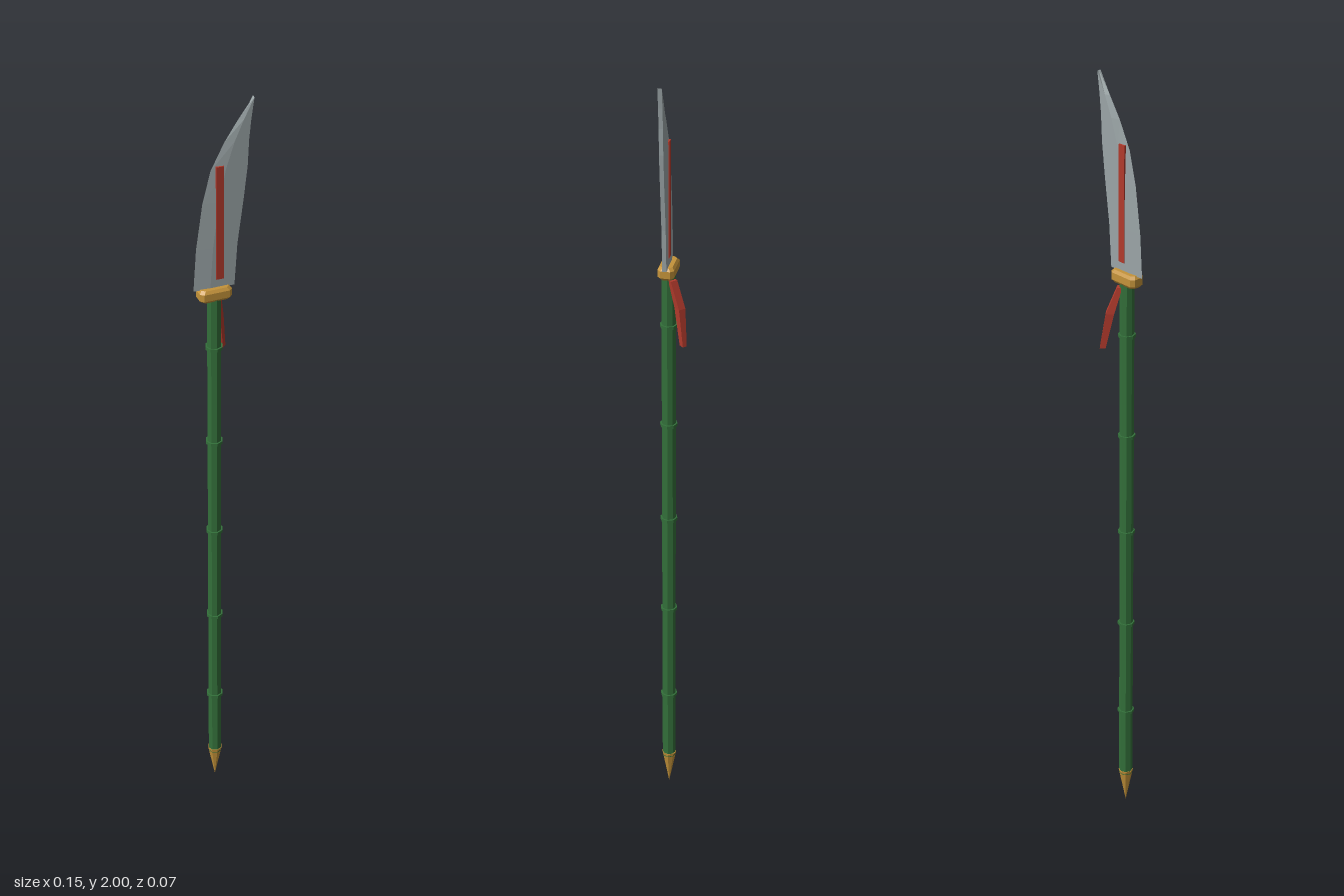
import * as THREE from 'three';

const CX = -0.022, CZ = 0.014; // axis of the shaft

const mat = (color) => new THREE.MeshStandardMaterial({ color, flatShading: true });
const GREEN = mat(0x33703a), GOLD = mat(0xc4933a), RED = mat(0xb23a2c), STEEL = mat(0x9ba5a7);

function add(group, name, geometry, material, x = 0, y = 0, z = 0) {
  const mesh = new THREE.Mesh(geometry, material);
  mesh.name = name;
  mesh.position.set(x, y, z);
  group.add(mesh);
  return mesh;
}

// Skins a stack of equal-length rings, listed bottom to top, and caps both ends.
// Each ring runs counterclockwise as seen from above.
function loft(rings) {
  const n = rings[0].length, index = [];
  for (let r = 0; r < rings.length - 1; r++) {
    for (let i = 0; i < n; i++) {
      const a = r * n + i, b = r * n + (i + 1) % n;
      index.push(a, b, b + n, a, b + n, a + n);
    }
  }
  const top = (rings.length - 1) * n;
  for (let i = 1; i < n - 1; i++) {
    index.push(0, i + 1, i, top, top + i, top + i + 1);
  }
  const geometry = new THREE.BufferGeometry();
  geometry.setAttribute('position', new THREE.Float32BufferAttribute(rings.flat(2), 3));
  geometry.setIndex(index);
  geometry.computeVertexNormals();
  return geometry;
}

// Blade section: sharp edge on -x, flat bevel, then a blunt spine on +x
function bladeRing([y, edge, spine]) {
  const bevel = edge + (spine - edge) * 0.4, t = 0.005;
  return [[edge, y, CZ], [bevel, y, CZ + t], [spine, y, CZ + t], [spine, y, CZ - t], [bevel, y, CZ - t]];
}

// Rectangle with cut corners for the guard
function guardRing([y, hx, hz]) {
  const c = 0.008;
  return [[-hx, hz - c], [-hx + c, hz], [hx - c, hz], [hx, hz - c],
    [hx, c - hz], [hx - c, -hz], [c - hx, -hz], [-hx, c - hz]].map(([x, z]) => [CX + x, y, CZ + z]);
}

// Ribbon section, turned 45 degrees to lean out to the back left
function ribbonRing([x, y, z, radial, across]) {
  const k = Math.SQRT1_2 / 2;
  return [[-1, -1], [-1, 1], [1, 1], [1, -1]].map(([r, a]) =>
    [x + k * (r * radial + a * across), y, z + k * (a * across - r * radial)]);
}

export function createModel() {
  const model = new THREE.Group();
  model.name = 'polearm';

  // Bamboo shaft with its joints
  add(model, 'shaft', new THREE.CylinderGeometry(0.0175, 0.0175, 1.42, 8), GREEN, CX, 0.8, CZ);
  for (let i = 0; i < 5; i++) {
    add(model, 'shaftJoint', new THREE.CylinderGeometry(0.0215, 0.0215, 0.008, 8), GREEN, CX, 0.29 + i * 0.27, CZ);
  }

  // Pointed foot
  add(model, 'footSpike', new THREE.ConeGeometry(0.019, 0.1, 8).rotateX(Math.PI), GOLD, CX, 0.05, CZ);

  // Guard with bevelled rims
  add(model, 'guard', loft([[1.503, 0.034, 0.015], [1.51, 0.04, 0.02],
    [1.528, 0.04, 0.02], [1.535, 0.034, 0.015]].map(guardRing)), GOLD);

  // Curved blade: height, cutting edge x, spine x
  add(model, 'blade', loft([
    [1.532, -0.073, 0.027], [1.64, -0.066, 0.034], [1.755, -0.05, 0.049], [1.835, -0.03, 0.058],
    [1.9, 0.003, 0.061], [1.95, 0.036, 0.066], [2, 0.073, 0.073],
  ].map(bladeRing)), STEEL);

  // Red inlay showing on both faces
  add(model, 'bladeInlay', new THREE.BoxGeometry(0.019, 0.29, 0.013), RED, -0.009, 1.7, CZ);

  // Ribbon hanging below the guard: x, y, z, radial size, width
  add(model, 'ribbon', loft([
    [0.016, 1.338, -0.029, 0.014, 0.011],
    [0.002, 1.43, -0.018, 0.02, 0.018],
    [-0.01, 1.495, 0.002, 0.012, 0.018],
  ].map(ribbonRing)), RED);

  return model;
}
